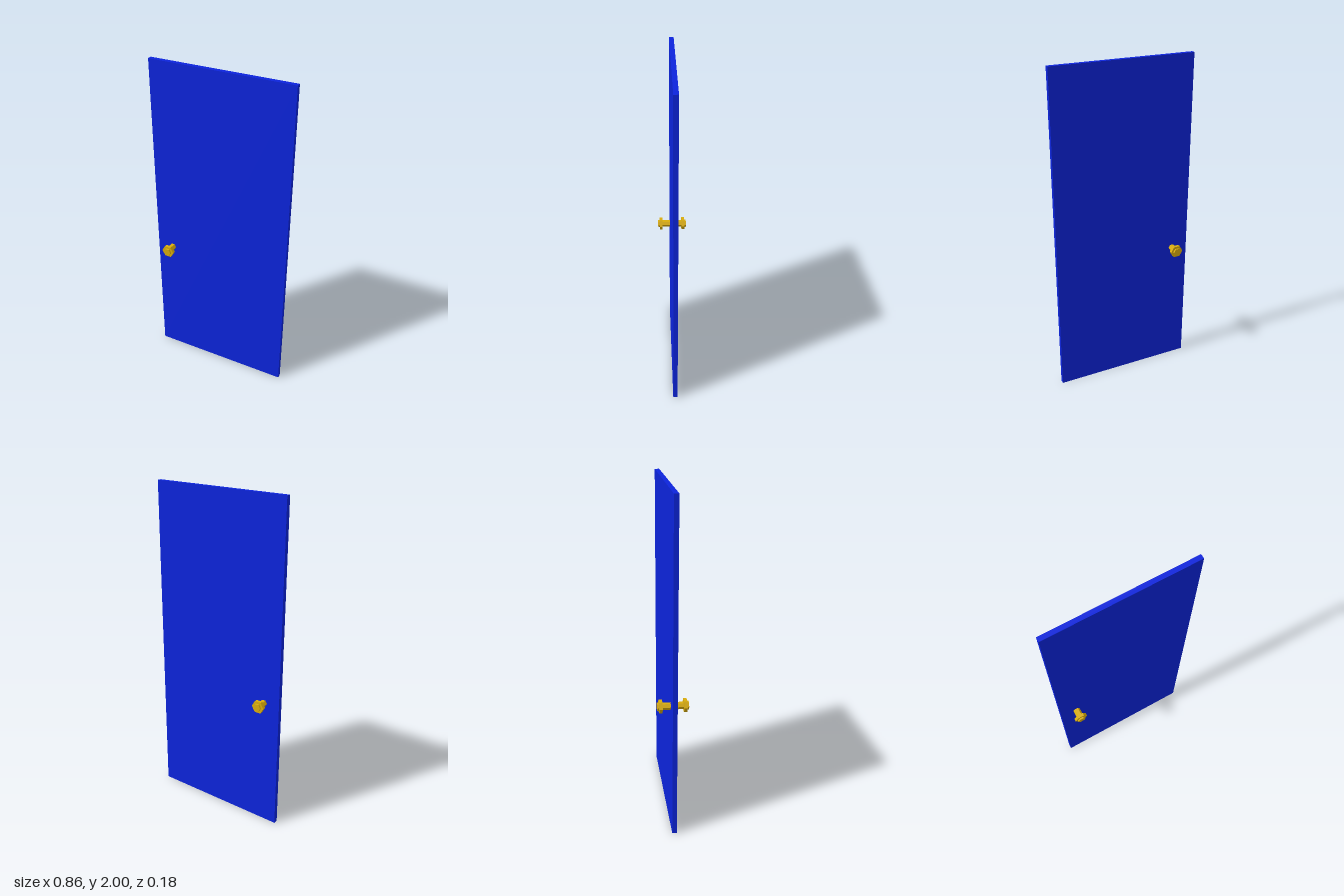
import * as THREE from 'three';

export function createModel() {
  const model = new THREE.Group();
  model.name = 'door';
  const blue = new THREE.MeshStandardMaterial({ color: 0x0c24dc, flatShading: true });
  const gold = new THREE.MeshStandardMaterial({ color: 0xd9ac0c, flatShading: true });

  // Plain slab
  const panel = new THREE.Mesh(new THREE.BoxGeometry(0.863, 2, 0.027), blue);
  panel.name = 'doorPanel';
  panel.position.y = 1;
  model.add(panel);

  // Six-sided bar along z, with corners pointing left and right
  const hexBar = (name, radius, z0, z1) => {
    const geometry = new THREE.CylinderGeometry(radius, radius, z1 - z0, 6, 1, false, Math.PI / 2);
    geometry.rotateX(Math.PI / 2);
    const mesh = new THREE.Mesh(geometry, gold);
    mesh.name = name;
    mesh.position.z = (z0 + z1) / 2;
    return mesh;
  };

  // One knob on each face of the door
  for (const [name, turn] of [['frontKnob', 0], ['backKnob', Math.PI]]) {
    const knob = new THREE.Group();
    knob.name = name;
    knob.position.set(-0.329, 0.802, 0);
    knob.rotation.y = turn;
    knob.add(
      hexBar('knobShaft', 0.021, 0, 0.061),
      hexBar('knobCollar', 0.0395, 0.061, 0.08),
      hexBar('knobCap', 0.0245, 0.08, 0.09)
    );
    model.add(knob);
  }
  return model;
}
